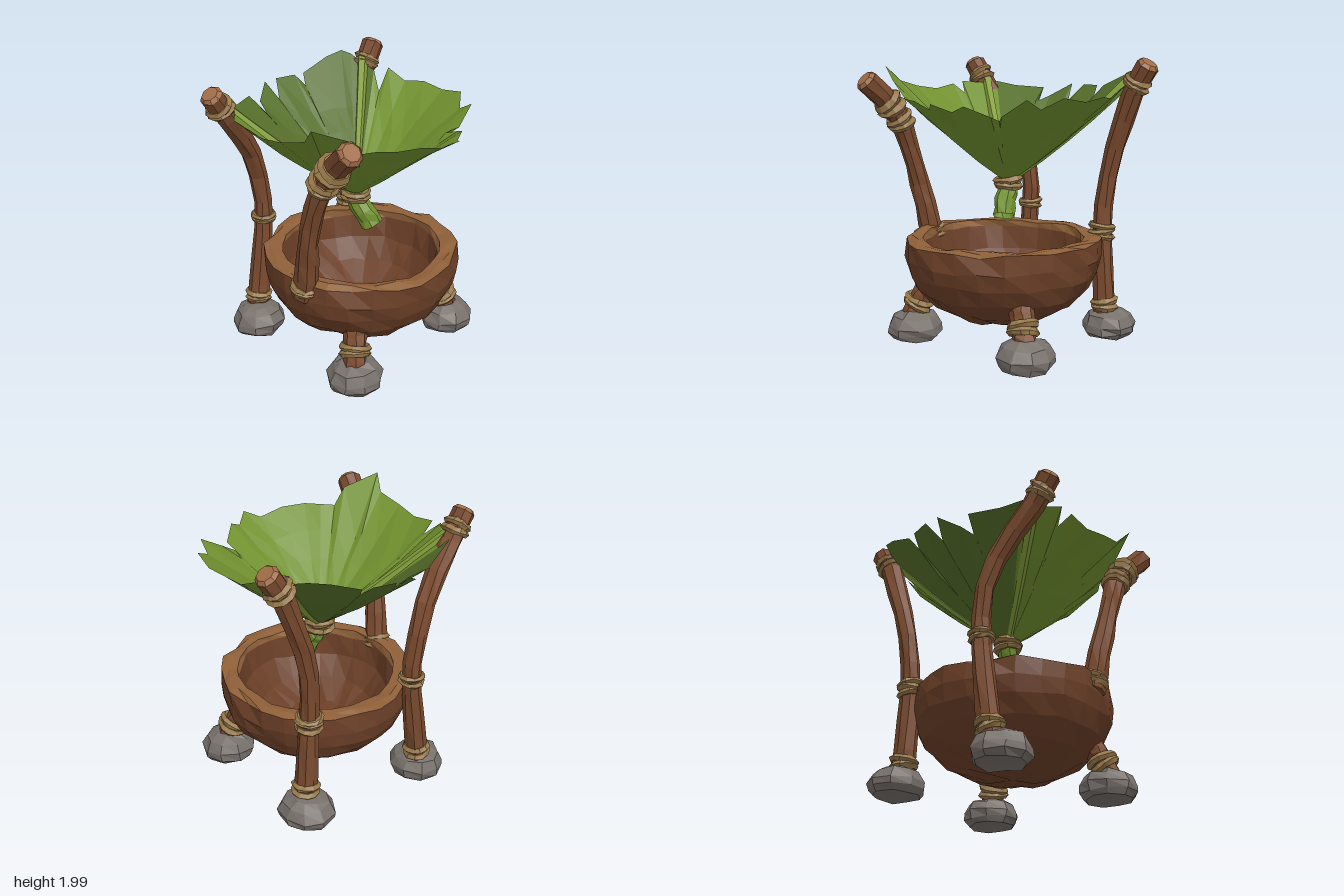
import * as THREE from 'three';

const V = (x, y, z) => new THREE.Vector3(x, y, z);
const mat = (color, side = THREE.FrontSide) => new THREE.MeshStandardMaterial({ color, side, flatShading: true, roughness: 0.9 });
const WOOD = mat(0x7a4a2e), BOWL = mat(0x6b3f27), RIM = mat(0x8f6039), CUT = mat(0xa06c45);
const ROPE = mat(0x97784a), ROCK = mat(0x77706b);
const LEAF = mat(0x71912f, THREE.DoubleSide), LEAF_BACK = mat(0x566f2b, THREE.DoubleSide), RIB = mat(0x84a03a, THREE.DoubleSide);

// repeatable noise in -1..1 from a position, so coincident vertices stay together
function noise(x, y, z, k) {
  const q = (v) => Math.round(v * 500);
  const s = Math.sin(q(x) * 12.99 + q(y) * 78.23 + q(z) * 37.72 + k * 11.3) * 43758.5453;
  return (s - Math.floor(s)) * 2 - 1;
}

function roughen(geo, amount) {
  const p = geo.attributes.position;
  for (let i = 0; i < p.count; i++) {
    const x = p.getX(i), y = p.getY(i), z = p.getZ(i);
    p.setXYZ(i, x + amount * noise(x, y, z, 1), y + amount * noise(x, y, z, 2), z + amount * noise(x, y, z, 3));
  }
  geo.computeVertexNormals();
  return geo;
}

function add(parent, name, geo, material) {
  const m = new THREE.Mesh(geo, material);
  m.name = name;
  parent.add(m);
  return m;
}

function buildGeometry(pos, idx) {
  const g = new THREE.BufferGeometry();
  g.setAttribute('position', new THREE.Float32BufferAttribute(pos, 3));
  g.setIndex(idx);
  g.computeVertexNormals();
  return g;
}

// sweep of round sections along a curve, with optional closed ends
function sweep(curve, radiusAt, steps, sides, closed = true) {
  const f = curve.computeFrenetFrames(steps, false), pos = [], idx = [];
  for (let i = 0; i <= steps; i++) {
    const c = curve.getPointAt(i / steps), r = radiusAt(i / steps);
    for (let j = 0; j < sides; j++) {
      const a = (j / sides) * Math.PI * 2;
      const v = c.clone().addScaledVector(f.normals[i], r * Math.cos(a)).addScaledVector(f.binormals[i], r * Math.sin(a));
      pos.push(v.x, v.y, v.z);
    }
  }
  for (let i = 0; i < steps; i++) for (let j = 0; j < sides; j++) {
    const a = i * sides + j, b = i * sides + (j + 1) % sides;
    idx.push(a, b, a + sides, b, b + sides, a + sides);
  }
  if (closed) for (let j = 1; j < sides - 1; j++) {
    const e = steps * sides;
    idx.push(0, j + 1, j, e, e + j, e + j + 1);
  }
  return buildGeometry(pos, idx);
}

// a few rope rings wound about an axis
function binding(parent, name, centre, axis, radius, rings = 2, thick = 0.026) {
  const g = new THREE.Group();
  g.name = name;
  for (let i = 0; i < rings; i++) {
    const t = add(g, 'ropeRing', roughen(new THREE.TorusGeometry(radius, thick, 5, 11), 0.005), ROPE);
    t.position.z = (i - (rings - 1) / 2) * thick * 1.6;
    t.rotation.set(0.09 * (i % 2 ? 1 : -1), 0.07 * (i % 2 ? -1 : 1), i);
  }
  g.position.copy(centre);
  g.quaternion.setFromUnitVectors(V(0, 0, 1), axis);
  parent.add(g);
}

// wooden post with a bevelled top and bindings at the given heights
function post(root, name, pts, radius, bindings) {
  const g = new THREE.Group();
  g.name = name;
  root.add(g);
  const curve = new THREE.CatmullRomCurve3(pts.map((p) => V(...p)));
  add(g, 'pole', roughen(sweep(curve, (t) => radius * (1 + 0.1 * Math.cos(t * 6.28)), 9, 8), 0.006), WOOD);
  const end = curve.getPointAt(1), dir = curve.getTangentAt(1);
  const cap = add(g, 'cutEnd', new THREE.CylinderGeometry(radius * 0.8, radius * 1.1, 0.025, 8), CUT);
  cap.position.copy(end).addScaledVector(dir, 0.012);
  cap.quaternion.setFromUnitVectors(V(0, 1, 0), dir);
  for (const [y, rings, thick] of bindings) {
    let t = 0;
    while (t < 0.995 && curve.getPointAt(t).y < y) t += 0.005;
    binding(g, 'binding', curve.getPointAt(t), curve.getTangentAt(t), radius * 1.03, rings, thick);
  }
}

function rock(root, name, x, z, turn) {
  const prof = [[0, 0.01], [0.16, 0.01], [0.19, 0.045], [0.195, 0.1], [0.16, 0.165], [0.09, 0.2], [0, 0.205]];
  const geo = new THREE.LatheGeometry(prof.map((p) => new THREE.Vector2(...p)), 9);
  geo.rotateY(turn);
  const m = add(root, name, roughen(geo, 0.01), ROCK);
  m.position.set(x, 0, z);
}

function bowl(root) {
  const g = new THREE.Group();
  g.name = 'bowl';
  g.position.set(-0.005, 0, 0.05);
  root.add(g);
  const chips = [2, 7, 15, 22];
  const lathe = (pts) => {
    const geo = roughen(new THREE.LatheGeometry(pts.map((p) => new THREE.Vector2(...p)), 26), 0.012);
    // chips in the outer edge of the rim
    const p = geo.attributes.position;
    for (let i = 0; i < p.count; i++) {
      const [r, y] = pts[i % pts.length];
      if (r > 0.67 && y > 0.7 && chips.includes(Math.floor(i / pts.length))) p.setXYZ(i, p.getX(i) * 0.95, p.getY(i) - 0.02, p.getZ(i) * 0.95);
    }
    return geo;
  };
  add(g, 'outerShell', lathe([[0, 0.15], [0.17, 0.16], [0.33, 0.205], [0.49, 0.29], [0.6, 0.4], [0.665, 0.52], [0.69, 0.63], [0.685, 0.755]]), BOWL);
  add(g, 'rim', lathe([[0.685, 0.755], [0.63, 0.765], [0.565, 0.755], [0.555, 0.71]]), RIM);
  add(g, 'innerShell', lathe([[0.555, 0.71], [0.52, 0.55], [0.42, 0.4], [0.25, 0.29], [0, 0.26]]), BOWL);
}

// funnel surface height: raised at the back-left and front-right corners, drooping at the front tip
function leafY(x, z) {
  const r = Math.hypot(x, z);
  const lift = 0.16 * Math.max(0, x) * Math.max(0, -z) + 0.2 * Math.max(0, -x) * Math.max(0, z);
  return 1.12 + 0.7 * r + 0.12 * r * r + lift - 0.6 * Math.max(0, z - 0.7);
}

function leaf(root) {
  const g = new THREE.Group();
  g.name = 'leafFunnel';
  root.add(g);
  // torn outline as x, z pairs, running round from the back
  const rim = [
    [-0.02, -0.71], [0.05, -0.81], [0.2, -0.77], [0.23, -0.69], [0.27, -0.75], [0.48, -0.71], [0.6, -0.67],
    [0.63, -0.6], [0.66, -0.5], [0.66, -0.4], [0.6, -0.3], [0.73, -0.32], [0.74, -0.17], [0.78, -0.03],
    [0.77, 0.15], [0.74, 0.33], [0.62, 0.41], [0.6, 0.52], [0.42, 0.55], [0.35, 0.49], [0.36, 0.58],
    [0.24, 0.7], [0.16, 0.72], [0.06, 0.81], [-0.03, 0.73], [-0.2, 0.7], [-0.36, 0.64], [-0.44, 0.55],
    [-0.52, 0.49], [-0.62, 0.5], [-0.83, 0.38], [-0.78, 0.28], [-0.8, 0.1], [-0.78, -0.08], [-0.78, -0.26],
    [-0.68, -0.28], [-0.77, -0.35], [-0.66, -0.47], [-0.62, -0.58], [-0.48, -0.64], [-0.28, -0.74],
    [-0.25, -0.6], [-0.2, -0.72], [-0.06, -0.81]];
  // round inner rows, then the torn edge
  const rows = [0.065, 0.22, 0.4, 0.56, null], n = rim.length, pos = [], front = [], back = [];
  rows.forEach((radius, i) => rim.forEach(([rx, rz], j) => {
    const k = radius ? radius / Math.hypot(rx, rz) : 1, x = rx * k, z = rz * k;
    const fold = i * (0.002 * (j % 2 ? 1 : -1) + 0.004 * noise(rx, 0, rz, i));
    pos.push(x, leafY(x, z) + fold, z);
    if (i) {
      const a = (i - 1) * n + j, b = (i - 1) * n + (j + 1) % n;
      (rz < -0.72 * Math.abs(rx) ? back : front).push(a, a + n, b, b, a + n, b + n);
    }
  }));
  add(g, 'frontBlade', buildGeometry(pos, front), LEAF);
  add(g, 'backBlade', buildGeometry(pos, back), LEAF_BACK);
  // two stiff ribs reaching the back posts
  for (const s of [-1, 1]) {
    const pts = [0.06, 0.3, 0.6, 0.86].map((r) => V(s * r * 0.79, leafY(s * r * 0.79, -r * 0.61) + 0.01, -r * 0.61));
    add(g, 'rib', sweep(new THREE.CatmullRomCurve3(pts), (t) => 0.022 + 0.018 * t, 5, 5), RIB);
  }
  // hollow spout hanging below the neck
  const spout = new THREE.CatmullRomCurve3([V(0, 1.17, 0), V(0, 1.09, 0.005), V(0.02, 1.01, 0.06), V(0.05, 0.91, 0.105)]);
  add(g, 'spout', roughen(sweep(spout, (t) => 0.065 + 0.01 * t, 5, 8, false), 0.008), LEAF);
  binding(g, 'neckBinding', V(0, 1.13, 0), V(0, 1, 0), 0.083, 2, 0.026);
}

export function createModel() {
  const root = new THREE.Group();
  root.name = 'leafRainCollector';
  bowl(root);
  leaf(root);

  // tall posts
  post(root, 'backLeftPost', [[0.51, 0.12, -0.48], [0.48, 0.45, -0.48], [0.465, 0.76, -0.48], [0.475, 1.05, -0.5],
    [0.53, 1.35, -0.52], [0.62, 1.6, -0.52], [0.7, 1.8, -0.52], [0.79, 1.94, -0.52]], 0.073,
  [[0.24, 2], [0.76, 3, 0.023], [1.82, 2]]);
  post(root, 'backRightPost', [[-0.41, 0.12, -0.62], [-0.36, 0.45, -0.63], [-0.31, 0.87, -0.62], [-0.325, 1.15, -0.63],
    [-0.42, 1.42, -0.6], [-0.57, 1.63, -0.56], [-0.7, 1.79, -0.53], [-0.8, 1.93, -0.52]], 0.071,
  [[0.24, 2], [0.87, 2, 0.02], [1.83, 2]]);
  post(root, 'frontRightPost', [[-0.64, 0.64, 0.1], [-0.65, 0.8, 0.14], [-0.69, 1.1, 0.2], [-0.71, 1.4, 0.29],
    [-0.71, 1.55, 0.36], [-0.72, 1.69, 0.47], [-0.76, 1.83, 0.62]], 0.075,
  [[0.71, 2], [1.54, 2, 0.03], [1.66, 2, 0.037]]);

  // short front legs under the bowl
  for (const s of [-1, 1]) {
    const leg = s > 0 ? 'frontLeftLeg' : 'frontRightLeg';
    post(root, leg, [[s * 0.53, 0.12, 0.45], [s * 0.49, 0.26, 0.42], [s * 0.42, 0.4, 0.36]], 0.083, [[0.26, 2, 0.027]]);
  }

  // stone feet
  rock(root, 'frontLeftStone', 0.525, 0.44, 0.2);
  rock(root, 'frontRightStone', -0.51, 0.44, 0.9);
  rock(root, 'backLeftStone', 0.52, -0.52, 1.7);
  rock(root, 'backRightStone', -0.44, -0.58, 2.6);
  return root;
}
